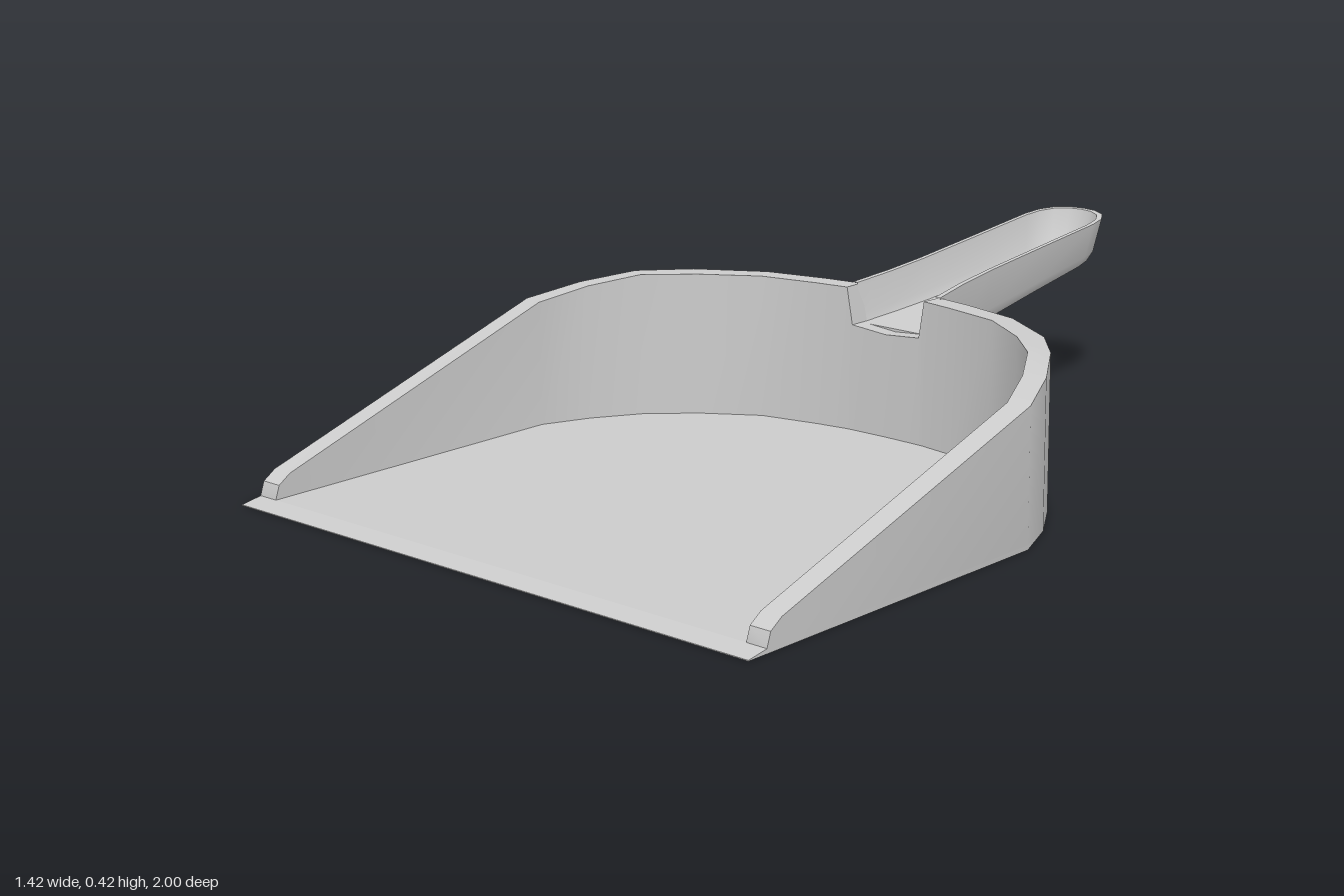
import * as THREE from 'three';
import { mergeGeometries, toCreasedNormals } from 'three/addons/utils/BufferGeometryUtils.js';

const material = new THREE.MeshStandardMaterial({ color: 0xcccccc });

// Skin a row of cross-sections; closed rings also get end caps.
function loft(sections, closed) {
  const n = sections[0].length, pos = [], idx = [];
  sections.forEach(s => s.forEach(p => pos.push(...p)));
  for (let i = 0; i < sections.length - 1; i++) {
    for (let j = 0; j < (closed ? n : n - 1); j++) {
      const k = (j + 1) % n;
      const a = i * n + j, b = (i + 1) * n + j, c = (i + 1) * n + k, d = i * n + k;
      idx.push(a, b, c, a, c, d);
    }
  }
  if (closed) {
    const last = (sections.length - 1) * n;
    for (let j = 1; j < n - 1; j++) idx.push(0, j, j + 1, last, last + j + 1, last + j);
  }
  const g = new THREE.BufferGeometry();
  g.setAttribute('position', new THREE.Float32BufferAttribute(pos, 3));
  g.setIndex(idx);
  return g.toNonIndexed();
}

// Horizontal plate from [x, z] points, with heights given as functions of z.
function plate(points, bottom, top, hole) {
  const flat = pts => pts.map(([x, z]) => new THREE.Vector2(x, -z));
  const shape = new THREE.Shape(flat(points));
  if (hole) shape.holes.push(new THREE.Path(flat(hole)));
  const g = new THREE.ExtrudeGeometry(shape, { depth: 1, bevelEnabled: false });
  g.rotateX(-Math.PI / 2);
  const p = g.attributes.position;
  for (let i = 0; i < p.count; i++) p.setY(i, (p.getY(i) > 0.5 ? top : bottom)(p.getZ(i)));
  g.deleteAttribute('uv');
  g.deleteAttribute('normal');
  return g.index ? g.toNonIndexed() : g;
}

// Complete half a row of cross-sections that runs from +x to the centre line.
function mirror(half) {
  const other = half.slice(0, -1).reverse();
  return [...half, ...other.map(section => section.map(([x, y, z]) => [-x, y, z]))];
}

// Plan outline traced by the first point of every cross-section
const outlineOf = sections => sections.map(([p]) => [p[0], p[2]]);

function part(name, geometries, crease) {
  const mesh = new THREE.Mesh(toCreasedNormals(mergeGeometries(geometries), crease), material);
  mesh.name = name;
  return mesh;
}

function createModel() {
  const group = new THREE.Group();
  group.name = 'dustpan';

  // Wall: outer x, outer z, inner x, inner z, height; the centre is notched for the handle.
  const wall = mirror([
    [0.71, 0.95, 0.66, 0.95, 0.011],
    [0.71, 0.94, 0.66, 0.94, 0.04],
    [0.71, 0.91, 0.66, 0.91, 0.06],
    [0.71, 0.17, 0.66, 0.18, 0.297],
    [0.66, 0.05, 0.615, 0.07, 0.322],
    [0.59, -0.06, 0.55, -0.035, 0.34],
    [0.50, -0.16, 0.455, -0.125, 0.34],
    [0.35, -0.25, 0.33, -0.205, 0.34],
    [0.20, -0.285, 0.19, -0.235, 0.34],
    [0.112, -0.298, 0.11, -0.247, 0.34],
    [0.095, -0.299, 0.095, -0.248, 0.255],
    [0, -0.303, 0, -0.25, 0.247],
  ].map(([ox, oz, ix, iz, h]) => [[ox, 0, oz], [ox, h, oz], [ix, h, iz], [ix, 0, iz]]));
  group.add(part('wall', [loft(wall, true)], 0.5));

  // Flat floor and the thin tapered lip in front of it
  group.add(part('floor', [plate(outlineOf(wall), () => 0, () => 0.01)], 0.5));
  const lip = [[0.71, 1], [0.71, 0.95], [-0.71, 0.95], [-0.71, 1]];
  group.add(part('frontLip', [plate(lip, () => 0, z => 0.002 + (1 - z) * 0.16)], 0.3));

  // Handle: an open trough whose profile follows a U-shaped rim path
  const rimY = z => 0.34 + (-0.25 - z) * 0.107;
  const topY = z => 0.25 + (-0.25 - z) * 0.1;
  const bottomY = z => 0.205 + (-0.3 - z) * 0.17;
  const rim = [
    [0.125, -0.285], [0.12, -0.32], [0.11, -0.39], [0.103, -0.5], [0.101, -0.7],
    [0.1, -0.9], [0.092, -0.945], [0.07, -0.978], [0.035, -0.996], [0, -1],
  ];
  // Levels: scale at the pan, scale at the tip, tip inset, height share, floor height
  const levels = [
    [0.77, 0.65, 0.048, 0, bottomY],
    [0.88, 0.78, 0.03, 0.05, bottomY],
    [0.94, 0.88, 0.018, 0.25, bottomY],
    [1, 1, 0, 1, rimY],
    [0.89, 0.89, 0.011, 1, rimY],
    [0.81, 0.75, 0.032, 0.2, topY],
    [0.77, 0.65, 0.048, 0, topY],
  ];
  const trough = mirror(rim.map(([x, z]) => levels.map(([s0, s1, inset, t, base]) => {
    const s = THREE.MathUtils.lerp(s0, s1, THREE.MathUtils.smoothstep(-z, 0.3, 0.6));
    const zz = z + inset * THREE.MathUtils.smoothstep(-z, 0.6, 1);
    return [x * s, THREE.MathUtils.lerp(base(zz), rimY(zz), t), zz];
  })));

  // Trough floor with the hanging hole
  const half = [[0.02, -0.76], [0.032, -0.77], [0.035, -0.8], [0.033, -0.88], [0.03, -0.905], [0.018, -0.917]];
  const hole = [...half, ...half.map(([x, z]) => [-x, z]).reverse()];
  const base = plate(outlineOf(trough), bottomY, topY, hole);
  group.add(part('handle', [loft(trough, false), base], 0.75));

  return group;
}

export { createModel };
